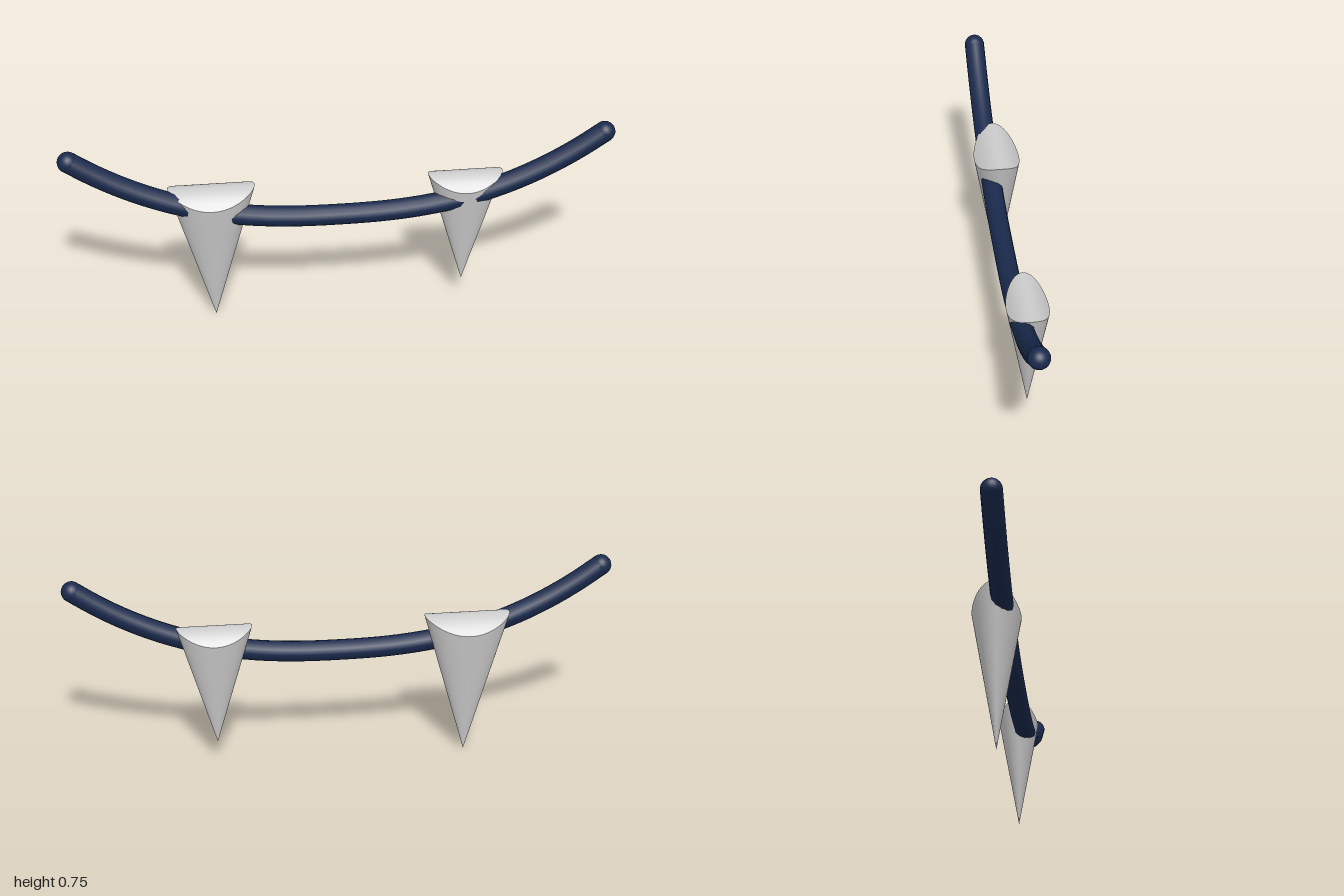
import * as THREE from 'three';

const ivory = new THREE.MeshStandardMaterial({ color: 0xcccccc });
const navy = new THREE.MeshStandardMaterial({ color: 0x1a2a4d });

// Move every vertex of a geometry by a rule
function reshape(geometry, rule) {
  const p = geometry.attributes.position;
  const v = new THREE.Vector3();
  for (let i = 0; i < p.count; i++) {
    rule(v.fromBufferAttribute(p, i));
    p.setXYZ(i, v.x, v.y, v.z);
  }
  geometry.computeVertexNormals();
  return geometry;
}

// Flattened cone, tip down, trimmed by a top that arches from front to back
function makeFang(name, x, tipY, height, slopeX, slopeZ, arch) {
  const rim = (angle) => {
    const s = slopeZ * Math.sin(angle);
    const a = arch * s * s;
    const h = a < 1e-6 ? height : (Math.sqrt(1 + 4 * a * height) - 1) / (2 * a);
    return new THREE.Vector3(slopeX * Math.cos(angle) * h, h, s * h);
  };
  const side = reshape(new THREE.CylinderGeometry(1, 0, 1, 64, 4, true), (v) => {
    const t = v.y + 0.5;
    v.copy(rim(Math.atan2(v.z, v.x))).multiplyScalar(t);
  });
  const cap = reshape(new THREE.RingGeometry(0.001, 1, 64, 8), (v) => {
    const t = Math.hypot(v.x, v.y);
    v.copy(rim(Math.atan2(-v.y, v.x))).multiplyScalar(t);
    v.y = height - arch * v.z * v.z;
  });
  const fang = new THREE.Group();
  fang.name = name;
  for (const [part, geometry] of [['fangSide', side], ['fangTop', cap]]) {
    const mesh = new THREE.Mesh(geometry, ivory);
    mesh.name = part;
    fang.add(mesh);
  }
  fang.position.set(x, tipY, 0);
  return fang;
}

// Sagging cord with rounded ends
function makeCord() {
  const radius = 0.038, endX = 0.962, z = 0.029;
  const points = [];
  for (let i = -12; i <= 12; i++) {
    const t = i / 12;
    points.push(new THREE.Vector3(t * endX, 0.428 + 0.285 * Math.abs(t) ** 2.5, z));
  }
  const cord = new THREE.Group();
  cord.name = 'cord';
  const strand = new THREE.Mesh(
    new THREE.TubeGeometry(new THREE.CatmullRomCurve3(points), 64, radius, 12), navy);
  strand.name = 'strand';
  cord.add(strand);
  for (const end of [points[0], points[points.length - 1]]) {
    const tip = new THREE.Mesh(new THREE.SphereGeometry(radius, 20, 14), navy);
    tip.name = 'cordEnd';
    tip.position.copy(end);
    cord.add(tip);
  }
  return cord;
}

export function createModel() {
  const model = new THREE.Group();
  model.name = 'fangNecklace';
  model.add(
    makeCord(),
    makeFang('largeFang', -0.463, 0, 0.56, 0.282, 0.171, 7.4),
    makeFang('smallFang', 0.463, 0.092, 0.468, 0.293, 0.178, 8.7),
  );
  return model;
}
